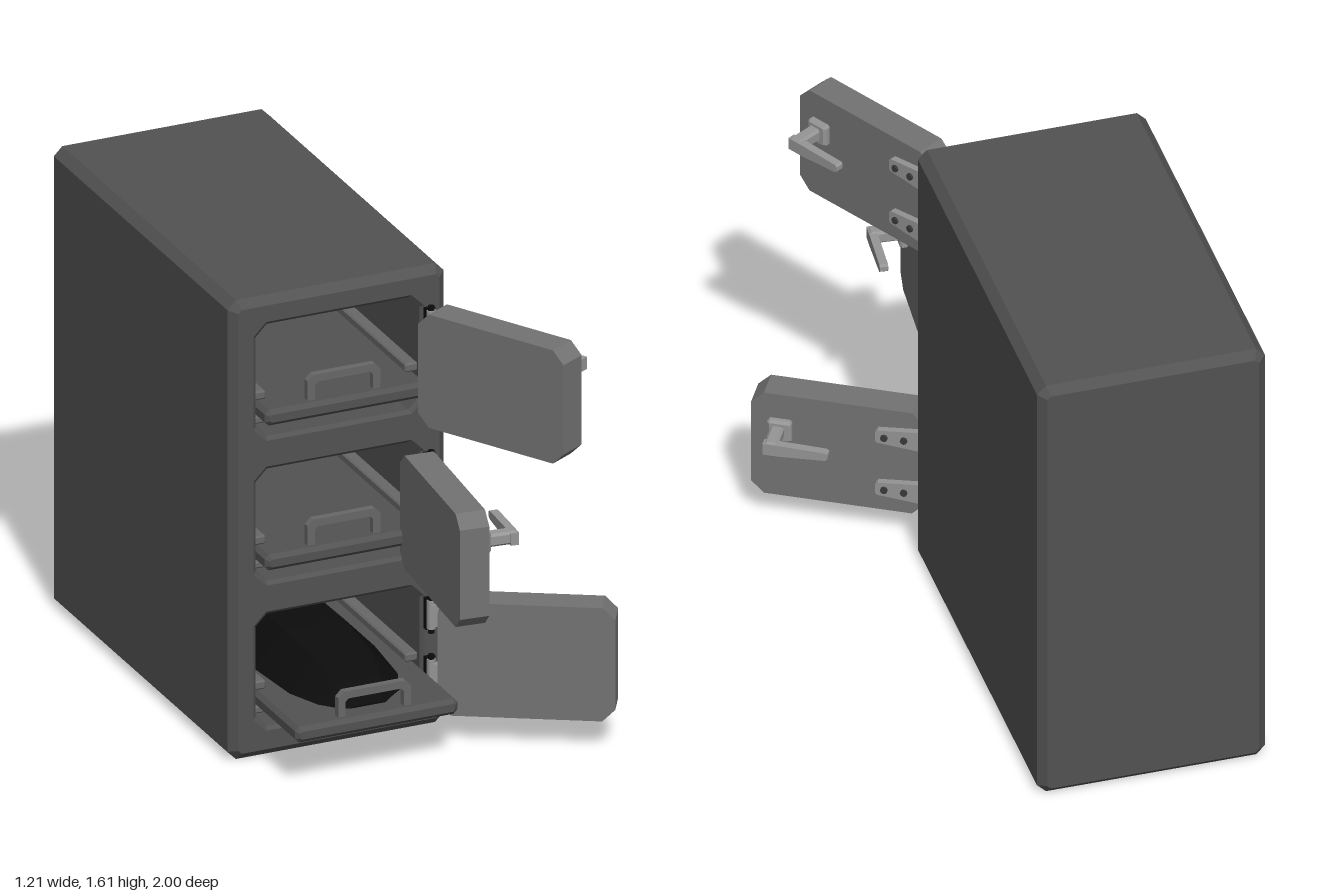
import * as THREE from 'three';

const mat = (name, color, side = THREE.FrontSide) => {
  const m = new THREE.MeshStandardMaterial({ color, side });
  m.name = name;
  return m;
};

// Octagonal ring: half width w, half height h, corner cuts cx / cy
function ring({ x = 0, y = 0, z, w, h, cx = 0.03, cy = cx }) {
  return [[w, cy - h], [w, h - cy], [w - cx, h], [cx - w, h], [-w, h - cy], [-w, cy - h], [cx - w, -h], [w - cx, -h]]
    .map(([px, py]) => [x + px, y + py, z]);
}

// Flat-shaded skin through rings; rings running towards -z give an inward-facing cavity
function loft(specs, capFirst = true, capLast = true) {
  const rings = specs.map(ring), p = [];
  const tri = (a, b, c) => p.push(...a, ...b, ...c);
  for (let k = 0; k + 1 < rings.length; k++) {
    const a = rings[k], b = rings[k + 1];
    for (let i = 0; i < 8; i++) {
      const j = (i + 1) % 8;
      tri(a[i], a[j], b[j]);
      tri(a[i], b[j], b[i]);
    }
  }
  const first = rings[0], last = rings[rings.length - 1];
  for (let i = 1; i < 7; i++) {
    if (capFirst) tri(first[0], first[i + 1], first[i]);
    if (capLast) tri(last[0], last[i], last[i + 1]);
  }
  const g = new THREE.BufferGeometry();
  g.setAttribute('position', new THREE.Float32BufferAttribute(p, 3));
  g.computeVertexNormals();
  return g;
}

// Box with all edges chamfered by c
function chamferBox(w, h, d, c) {
  const outer = { w: w / 2, h: h / 2, cx: c }, inner = { w: w / 2 - c, h: h / 2 - c, cx: c * 0.4 };
  return loft([{ ...inner, z: -d / 2 }, { ...outer, z: -d / 2 + c }, { ...outer, z: d / 2 - c }, { ...inner, z: d / 2 }]);
}

function polygon(points, depth) {
  const shape = new THREE.Shape(points.map(([x, y]) => new THREE.Vector2(x, y)));
  return new THREE.ExtrudeGeometry(shape, { depth, bevelEnabled: false });
}

function add(parent, name, geometry, material, x = 0, y = 0, z = 0) {
  const mesh = new THREE.Mesh(geometry, material);
  mesh.name = name;
  mesh.position.set(x, y, z);
  parent.add(mesh);
  return mesh;
}

export function createModel() {
  const casing = mat('casing dark grey', 0x525252);
  const doorGrey = mat('door grey', 0x737373);
  const steel = mat('hardware light grey', 0x959595);
  const railGrey = mat('rail grey', 0x686868);
  const black = mat('bag black', 0x0c0c0c);
  const bolt = mat('bolt dark', 0x3a3a3a);

  const model = new THREE.Group();
  model.name = 'threeDoorCabinet';
  const CX = -0.225, FRONT = 0.385;

  // Each bay: centre height, door angle, front edge of its tray
  const bays = [
    { y: 0.3, angle: 150, trayFront: 0.685 },
    { y: 0.807, angle: 85, trayFront: 0.45 },
    { y: 1.313, angle: 120, trayFront: 0.45 },
  ];

  // Casing: chamfered shell, then a front panel with three octagonal openings
  const H = 0.8025;
  const full = { x: CX, y: H, w: 0.38, h: H, cx: 0.03 };
  const small = { x: CX, y: H, w: 0.353, h: H - 0.027, cx: 0.012 };
  add(model, 'casingShell', loft([
    { ...small, z: -1 }, { ...full, z: -0.973 }, { ...full, z: FRONT - 0.027 }, { ...small, z: FRONT },
  ], true, false), casing);

  const toVectors = (spec) => ring({ ...spec, z: 0 }).map(([x, y]) => new THREE.Vector2(x, y));
  const panel = new THREE.Shape(toVectors(small));
  const mouths = bays.map(({ y }) => ({ x: CX, y, w: 0.3, h: 0.208, cx: 0.045 }));
  mouths.forEach((m) => panel.holes.push(new THREE.Path(toVectors(m))));
  add(model, 'frontPanel', new THREE.ShapeGeometry(panel), casing, 0, 0, FRONT);

  // Bay linings with a bevelled mouth
  mouths.forEach((m) => {
    const inner = { ...m, w: m.w - 0.012, h: m.h - 0.012, cx: 0.04 };
    add(model, 'bayLining', loft([{ ...m, z: FRONT }, { ...inner, z: FRONT - 0.012 }, { ...inner, z: -0.93 }], false, true), casing);
  });

  // Tray handle arch
  const archOutline = [
    [-0.128, 0], [-0.128, 0.07], [-0.108, 0.09], [0.108, 0.09], [0.128, 0.07], [0.128, 0],
    [0.102, 0], [0.102, 0.054], [0.092, 0.064], [-0.092, 0.064], [-0.102, 0.054], [-0.102, 0],
  ];

  for (const { y, angle, trayFront } of bays) {
    // Runners above and below each tray edge
    for (const side of [-1, 1]) {
      for (const [dy, h] of [[-0.058, 0.03], [-0.143, 0.025]]) {
        add(model, 'runner', chamferBox(0.045, h, 1.24, 0.005), railGrey, CX + side * 0.267, y + dy, -0.26);
      }
    }

    // Sliding tray with its handle
    const tray = new THREE.Group();
    tray.name = 'tray';
    tray.position.set(CX, y - 0.103, trayFront);
    model.add(tray);
    add(tray, 'trayPlate', chamferBox(0.57, 0.055, 1.24, 0.014), casing, 0, 0, -0.62);
    add(tray, 'trayHandle', polygon(archOutline, 0.024), railGrey, 0, 0.025, -0.049);

    // Door assembly, pivoting on the hinge line
    const door = new THREE.Group();
    door.name = 'door';
    door.position.set(0.09, y, 0.405);
    door.rotation.y = THREE.MathUtils.degToRad(angle);
    model.add(door);
    const slab = { x: -0.317, w: 0.285, h: 0.198, cx: 0.042 };
    add(door, 'doorSlab', loft([{ ...slab, z: -0.117 }, { ...slab, z: -0.017 }]), doorGrey);

    // Latch: base block, neck and lever pointing to the hinge side
    add(door, 'latchBase', chamferBox(0.08, 0.08, 0.03, 0.008), steel, -0.505, 0.07, -0.003);
    add(door, 'latchNeck', chamferBox(0.045, 0.045, 0.115, 0.008), steel, -0.51, 0.07, 0.05);
    const lever = [[-0.535, -0.024], [-0.48, -0.024], [-0.33, -0.015], [-0.322, -0.008], [-0.322, 0.008],
      [-0.33, 0.014], [-0.48, 0.018], [-0.535, 0.018]];
    add(door, 'latchLever', polygon(lever, 0.028), steel, 0, 0.07, 0.08);

    // Hinges: tapered strap, bolts, barrel, pin and fixed leaf
    for (const dy of [-0.103, 0.103]) {
      const strap = [[-0.19, -0.017], [-0.183, -0.024], [-0.03, -0.038], [0, -0.038], [0, 0.038], [-0.03, 0.038],
        [-0.183, 0.024], [-0.19, 0.017]];
      add(door, 'hingeStrap', polygon(strap, 0.022), steel, 0, dy, -0.017);
      for (const bx of [-0.095, -0.16]) {
        add(door, 'hingeBolt', new THREE.CylinderGeometry(0.012, 0.012, 0.01, 8), bolt, bx, dy, 0.008)
          .rotation.x = Math.PI / 2;
      }
      add(model, 'hingeBarrel', new THREE.CylinderGeometry(0.015, 0.015, 0.1, 10), steel, 0.09, y + dy, 0.405);
      add(model, 'hingePin', new THREE.CylinderGeometry(0.011, 0.011, 0.13, 8), black, 0.09, y + dy, 0.405);
      add(model, 'hingeLeaf', new THREE.BoxGeometry(0.034, 0.11, 0.018), black, 0.09, y + dy, FRONT + 0.007);
    }
  }

  // Long dark bag lying on the lowest tray, flat underneath
  const bag = loft([
    [-0.5, 0.08, 0.05], [-0.44, 0.15, 0.1], [-0.2, 0.2, 0.135], [0.2, 0.21, 0.14],
    [0.42, 0.19, 0.125], [0.54, 0.15, 0.085], [0.61, 0.1, 0.03],
  ].map(([z, w, h]) => ({ x: CX, y: 0.2, z, w, h, cx: w * 0.5, cy: h * 0.8 })));
  const pos = bag.attributes.position;
  for (let i = 0; i < pos.count; i++) pos.setY(i, Math.max(pos.getY(i), 0.2));
  bag.computeVertexNormals();
  add(model, 'bag', bag, black);

  return model;
}
